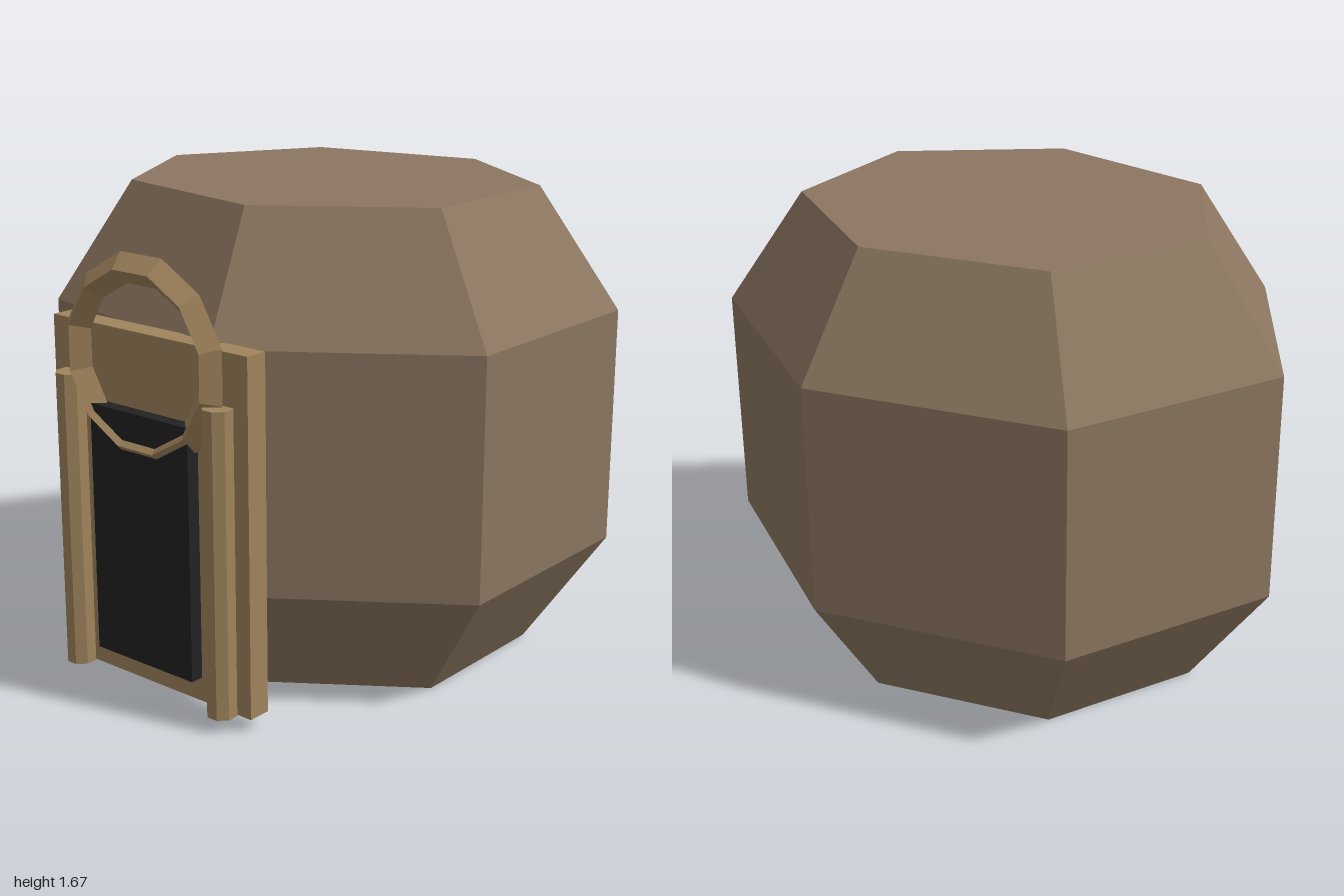
import * as THREE from 'three';

const stone = new THREE.MeshStandardMaterial({ color: 0x8b7660, flatShading: true });
stone.name = 'brown stone';
const sand = new THREE.MeshStandardMaterial({ color: 0xa0845c, flatShading: true });
sand.name = 'sandstone';
const dark = new THREE.MeshStandardMaterial({ color: 0x222222, flatShading: true });
dark.name = 'dark opening';

export function createModel() {
  const group = new THREE.Group();
  const add = (name, geometry, material, x, y, z) => {
    const mesh = new THREE.Mesh(geometry, material);
    mesh.name = name;
    mesh.position.set(x, y, z);
    group.add(mesh);
    return mesh;
  };

  // Seven-sided boulder, bevelled at top and bottom, with one corner at -x
  const profile = [[0, 0], [0.759, 0], [1.052, 0.417], [1.052, 1.25], [0.759, 1.667], [0, 1.667]]
    .map(([r, y]) => new THREE.Vector2(r, y));
  const boulder = new THREE.LatheGeometry(profile, 7, -Math.PI / 2);
  boulder.scale(1, 1, 0.873 );
  add('boulder', boulder, stone, 0.052, 0, -0.08);

  // Doorway, centred slightly to the left of the boulder's middle
  const cx = 0.05;
  add('doorSlab', new THREE.BoxGeometry(0.87, 1.22, 0.083), sand, cx, 0.66, 0.8135);
  add('doorOpening', new THREE.BoxGeometry(0.44, 0.875, 0.063), dark, cx, 0.573, 0.8715);

  // Eight-sided pillars on both sides
  for (const side of [-1, 1]) {
    const pillar = new THREE.CylinderGeometry(0.0525, 0.0525, 1.045, 8, 1, false, Math.PI / 8);
    add(side < 0 ? 'rightPillar' : 'leftPillar', pillar, sand, cx + side * 0.333, 0.5725, 0.882);
  }

  // Twelve-sided ring with a diamond cross-section
  const ring = add('archRing', new THREE.TorusGeometry(0.303, 0.052, 4, 12), sand, cx, 1.188, 0.868);
  ring.rotation.z = Math.PI / 12;
  return group;
}
